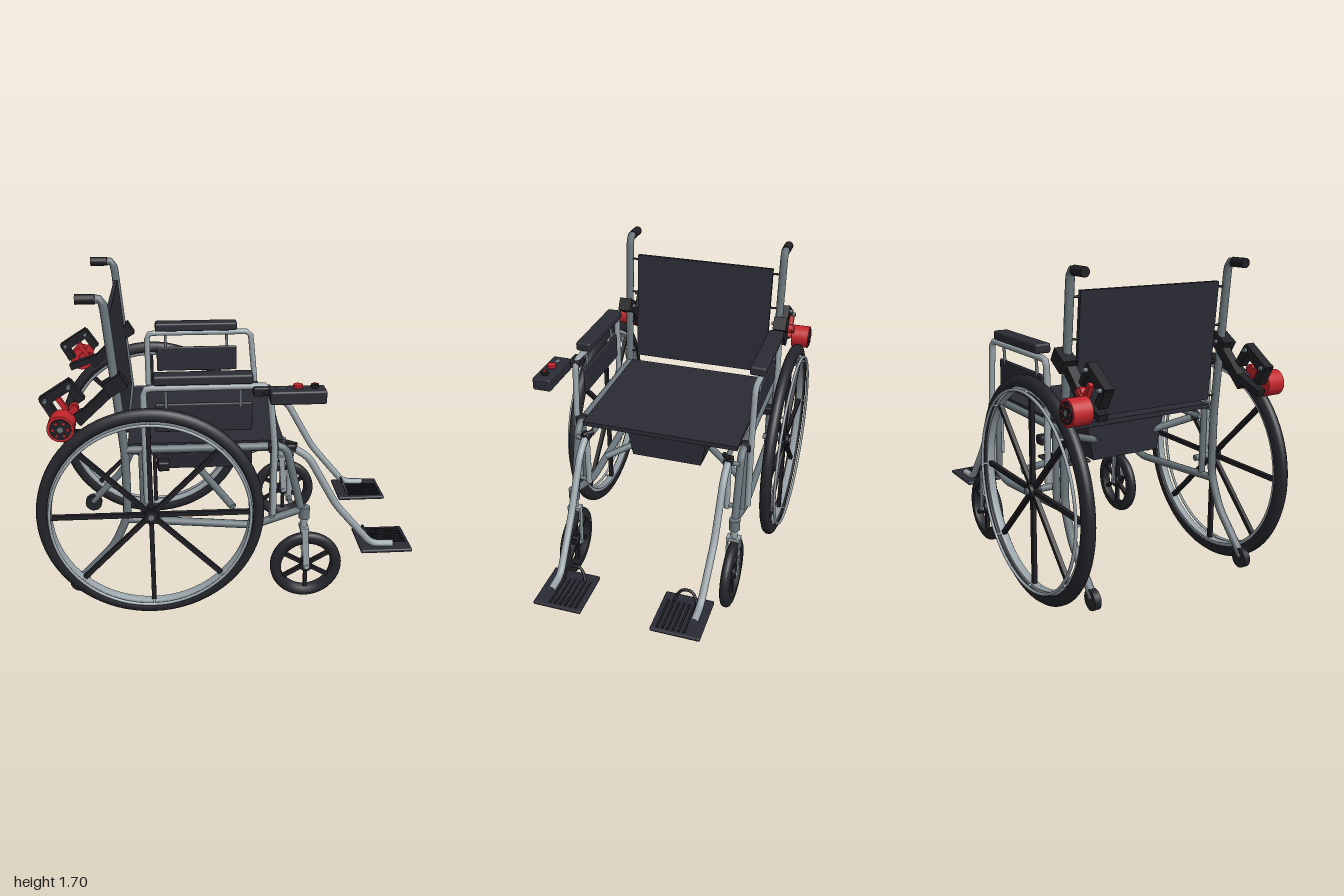
import * as THREE from 'three';
import { RoundedBoxGeometry } from 'three/addons/geometries/RoundedBoxGeometry.js';

const mat = (name, color, side = THREE.FrontSide) => {
  const m = new THREE.MeshStandardMaterial({ color, side });
  m.name = name;
  return m;
};
const V = (x, y, z) => new THREE.Vector3(x, y, z);

export function createModel() {
  const root = new THREE.Group();
  root.name = 'wheelchair';
  const steel = mat('frame grey', 0x69757b, THREE.DoubleSide);
  const silver = mat('light metal', 0x99a4aa, THREE.DoubleSide);
  const fabric = mat('dark fabric', 0x2b2b35);
  const rubber = mat('rubber', 0x25262b);
  const black = mat('black plastic', 0x1f1f24);
  const red = mat('red', 0xc4242b);

  const add = (parent, name, geo, m, x = 0, y = 0, z = 0) => {
    const mesh = new THREE.Mesh(geo, m);
    mesh.name = name;
    mesh.position.set(x, y, z);
    parent.add(mesh);
    return mesh;
  };
  const box = (p, name, m, w, h, d, x, y, z, r = 0) =>
    add(p, name, r ? new RoundedBoxGeometry(w, h, d, 2, r) : new THREE.BoxGeometry(w, h, d), m, x, y, z);
  // straight round rod between two points
  const rod = (p, name, m, a, b, r, r2 = r) => {
    const d = b.clone().sub(a);
    const mesh = add(p, name, new THREE.CylinderGeometry(r2, r, d.length(), 16), m);
    mesh.position.copy(a).add(b).multiplyScalar(0.5);
    mesh.quaternion.setFromUnitVectors(V(0, 1, 0), d.normalize());
    return mesh;
  };
  // bent tube with rounded corners
  const tube = (p, name, m, pts, r, bend = 0.06) => {
    const path = new THREE.CurvePath();
    let last = pts[0];
    for (let i = 1; i < pts.length - 1; i++) {
      const c = pts[i];
      const off = (q) => c.clone().add(q.clone().sub(c).setLength(Math.min(bend, q.distanceTo(c) * 0.45)));
      const a = off(pts[i - 1]), b = off(pts[i + 1]);
      path.add(new THREE.LineCurve3(last, a));
      path.add(new THREE.QuadraticBezierCurve3(a, c, b));
      last = b;
    }
    path.add(new THREE.LineCurve3(last, pts[pts.length - 1]));
    return add(p, name, new THREE.TubeGeometry(path, 56, r, 12), m);
  };
  // flat bar in the side plane from (x1,y1) to (x2,y2)
  const bar = (p, name, m, x1, y1, x2, y2, h, d, z) => {
    const b = box(p, name, m, Math.hypot(x2 - x1, y2 - y1) + h * 0.6, h, d, (x1 + x2) / 2, (y1 + y2) / 2, z);
    b.rotation.z = Math.atan2(y2 - y1, x2 - x1);
    return b;
  };
  // ring of rounded rectangular section around the z axis
  const ring = (p, name, m, inner, outer, w, round) => {
    const h = w / 2, pts = [[inner, -h], [outer - round, -h], [outer - round * 0.3, -h * 0.72], [outer, -h * 0.3],
      [outer, h * 0.3], [outer - round * 0.3, h * 0.72], [outer - round, h], [inner, h], [inner, -h]];
    const g = new THREE.LatheGeometry(pts.map(([x, y]) => new THREE.Vector2(x, y)), 72);
    g.rotateX(Math.PI / 2);
    return add(p, name, g, m);
  };
  const disc = (p, name, m, r, w, x, y, z) => {
    const g = new THREE.CylinderGeometry(r, r, w, 28);
    g.rotateX(Math.PI / 2);
    return add(p, name, g, m, x, y, z);
  };
  const spokes = (p, m, n, r1, r2, w, d, start = 0) => {
    for (let i = 0; i < n; i++) {
      const a = start + (i / n) * Math.PI * 2, l = r2 - r1, c = (r1 + r2) / 2;
      box(p, 'spoke', m, l, w, d, Math.cos(a) * c, Math.sin(a) * c, 0).rotation.z = a;
    }
  };

  // seat and tilted backrest
  box(root, 'seat', fabric, 0.8, 0.025, 0.87, -0.13, 0.915, 0);
  bar(root, 'backrest', fabric, -0.548, 0.968, -0.602, 1.582, 0.022, 0.81, 0);

  // battery box under the seat, tapering downwards
  const tray = new THREE.Shape([[-0.235, 0.855], [-0.2, 0.675], [0.2, 0.675], [0.235, 0.855]].map(([x, y]) => new THREE.Vector2(x, y)));
  const trayGeo = new THREE.ExtrudeGeometry(tray, { depth: 0.52, bevelEnabled: false });
  trayGeo.rotateY(Math.PI / 2);
  add(root, 'batteryBox', trayGeo, fabric, -0.39, 0, 0);

  for (const s of [1, -1]) {
    const side = new THREE.Group();
    side.name = s > 0 ? 'leftSide' : 'rightSide';
    root.add(side);
    const P = (x, y, z) => V(x, y, z * s);
    const Z = 0.46 * s;

    // back post, push handle and anti-tip leg
    tube(side, 'backPost', steel, [P(-0.66, 1.685, 0.46), P(-0.614, 1.685, 0.46), P(-0.544, 0.88, 0.46),
      P(-0.545, 0.53, 0.46), P(-0.62, 0.36, 0.46), P(-0.82, 0.15, 0.46)], 0.022);
    rod(side, 'handGrip', black, P(-0.745, 1.685, 0.46), P(-0.65, 1.685, 0.46), 0.025);
    disc(side, 'antiTipWheel', rubber, 0.052, 0.035, -0.815, 0.142, Z);
    for (const y of [0.98, 1.17, 1.36, 1.56])
      rod(side, 'backrestPin', black, P(-0.55 - (y - 0.96) * 0.085, y, 0.39), P(-0.55 - (y - 0.96) * 0.085, y, 0.46), 0.006);

    // side frame
    tube(side, 'seatRail', steel, [P(-0.54, 0.905, 0.46), P(0.28, 0.905, 0.46), P(0.37, 0.53, 0.46)], 0.021);
    tube(side, 'lowerRail', steel, [P(-0.545, 0.51, 0.46), P(0.12, 0.45, 0.46), P(0.37, 0.535, 0.46)], 0.021);
    rod(side, 'axlePost', steel, P(-0.46, 0.5, 0.46), P(-0.46, 0.9, 0.46), 0.018);
    rod(side, 'axle', steel, P(-0.42, 0.59, 0.44), P(-0.42, 0.59, 0.61), 0.017);
    rod(side, 'frontPost', steel, P(0.215, 0.49, 0.46), P(0.215, 0.9, 0.46), 0.018);
    box(side, 'railClamp', black, 0.05, 0.05, 0.06, 0.21, 0.905, 0.47 * s, 0.01);
    box(side, 'rearClamp', black, 0.06, 0.05, 0.06, -0.35, 0.82, 0.47 * s, 0.01);
    // one bar of the folding cross brace
    rod(side, 'crossBrace', steel, P(-0.48, 0.85, 0.36), P(0.01, 0.54, -0.42), 0.02);
    rod(side, 'braceSaddle', steel, P(-0.52, 0.86, 0.385), P(0.27, 0.86, 0.385), 0.014);

    // armrest with pad and side panel
    tube(side, 'armrestTube', silver, [P(-0.44, 0.62, 0.495), P(-0.44, 1.245, 0.495), P(0.185, 1.245, 0.495),
      P(0.215, 0.92, 0.495), P(0.215, 0.53, 0.495)], 0.017, 0.035);
    box(side, 'armrestPad', fabric, 0.49, 0.05, 0.085, -0.145, 1.29, 0.485 * s, 0.012);
    box(side, 'sidePanel', fabric, 0.485, 0.15, 0.018, -0.142, 1.085, 0.485 * s, 0.008);
    for (const x of [-0.33, 0.04]) rod(side, 'panelStrut', steel, P(x, 1.14, 0.49), P(x, 1.25, 0.495), 0.008);

    // drive wheel
    const wheel = new THREE.Group();
    wheel.name = 'driveWheel';
    wheel.position.set(-0.42, 0.59, 0.57 * s);
    side.add(wheel);
    ring(wheel, 'tyre', rubber, 0.522, 0.578, 0.06, 0.03);
    ring(wheel, 'rim', silver, 0.502, 0.524, 0.04, 0.004);
    spokes(wheel, black, 8, 0.02, 0.506, 0.024, 0.022);
    disc(wheel, 'hub', black, 0.036, 0.06, 0, 0, 0);
    disc(wheel, 'hubCap', silver, 0.016, 0.07, 0, 0, 0);
    add(wheel, 'handRim', new THREE.TorusGeometry(0.508, 0.008, 8, 72), silver, 0, 0, 0.047 * s);
    for (let i = 0; i < 8; i++) {
      const a = (i / 8) * Math.PI * 2, x = Math.cos(a) * 0.508, y = Math.sin(a) * 0.508;
      rod(wheel, 'handRimPost', silver, V(x, y, 0.01 * s), V(x, y, 0.047 * s), 0.006);
    }

    // caster wheel and fork
    const caster = new THREE.Group();
    caster.name = 'casterWheel';
    caster.position.set(0.404, 0.2, 0.463 * s);
    side.add(caster);
    ring(caster, 'casterTyre', rubber, 0.138, 0.194, 0.052, 0.022);
    spokes(caster, black, 6, 0.02, 0.142, 0.02, 0.022, Math.PI / 6);
    disc(caster, 'casterHub', black, 0.034, 0.05, 0, 0, 0);
    disc(caster, 'casterAxle', silver, 0.013, 0.085, 0, 0, 0);
    for (const k of [-1, 1]) bar(side, 'forkBlade', silver, 0.39, 0.41, 0.404, 0.2, 0.034, 0.008, 0.463 * s + k * 0.034);
    box(side, 'forkCrown', silver, 0.045, 0.02, 0.076, 0.388, 0.425, 0.463 * s);
    rod(side, 'casterStem', silver, P(0.386, 0.42, 0.463), P(0.386, 0.5, 0.463), 0.019);
    rod(side, 'casterHead', steel, P(0.386, 0.485, 0.463), P(0.386, 0.55, 0.463), 0.03);

    // swing-away legrest and footplate
    tube(side, 'legrestTube', silver, [P(0.31, 0.875, 0.4), P(0.41, 0.81, 0.4), P(0.57, 0.52, 0.4),
      P(0.78, 0.268, 0.39), P(0.9, 0.265, 0.39)], 0.02, 0.05);
    rod(side, 'legrestPivot', silver, P(0.31, 0.56, 0.4), P(0.31, 0.87, 0.4), 0.016);
    for (const y of [0.58, 0.85]) rod(side, 'pivotBracket', steel, P(0.31, y, 0.4), P(0.31, y, 0.46), 0.013);
    rod(side, 'latchLever', black, P(0.29, 0.885, 0.37), P(0.34, 0.885, 0.41), 0.014);
    box(side, 'latchKnob', black, 0.05, 0.04, 0.05, 0.315, 0.87, 0.4 * s, 0.01);
    box(side, 'footplate', fabric, 0.285, 0.02, 0.262, 0.857, 0.248, 0.317 * s, 0.008);
    for (let i = 0; i < 6; i++) box(side, 'treadRib', black, 0.2, 0.006, 0.012, 0.88, 0.26, (0.22 + i * 0.028) * s);
    tube(side, 'heelLoop', black, [P(0.78, 0.255, 0.245), P(0.75, 0.325, 0.275), P(0.75, 0.325, 0.345), P(0.78, 0.255, 0.375)], 0.008, 0.05);

    // friction drive unit: clamp, frame, linkage and motor
    const drive = new THREE.Group();
    drive.name = 'driveUnit';
    side.add(drive);
    bar(drive, 'postClamp', black, -0.6, 1.25, -0.55, 1.28, 0.075, 0.075, 0.475 * s);
    bar(drive, 'driveArm', black, -0.76, 1.08, -0.59, 1.24, 0.05, 0.05, Z);
    bar(drive, 'frameTop', black, -0.925, 1.185, -0.8, 1.265, 0.05, 0.05, Z);
    bar(drive, 'frameFront', black, -0.8, 1.265, -0.75, 1.19, 0.04, 0.05, Z);
    bar(drive, 'frameRear', black, -0.925, 1.185, -0.89, 1.12, 0.04, 0.05, Z);
    bar(drive, 'frameBase', black, -0.89, 1.06, -0.75, 1.11, 0.035, 0.05, Z);
    bar(drive, 'link', red, -0.85, 1.2, -0.79, 1.1, 0.025, 0.025, 0.495 * s);
    bar(drive, 'link', red, -0.84, 1.1, -0.77, 1.16, 0.03, 0.025, 0.51 * s);
    disc(drive, 'linkPin', red, 0.025, 0.03, -0.78, 1.155, 0.5 * s);
    disc(drive, 'motor', red, 0.066, 0.1, -0.838, 1.087, 0.56 * s);
    disc(drive, 'motorFace', black, 0.053, 0.012, -0.838, 1.087, 0.609 * s);
    disc(drive, 'motorShaft', steel, 0.014, 0.14, -0.838, 1.087, 0.547 * s);
    for (let i = 0; i < 6; i++) {
      const a = (i / 6) * Math.PI * 2;
      disc(drive, 'motorBolt', red, 0.007, 0.006, -0.838 + Math.cos(a) * 0.036, 1.087 + Math.sin(a) * 0.036, 0.615 * s);
    }
    for (const [x, y] of [[-0.92, 1.19], [-0.8, 1.26], [-0.57, 1.27]])
      disc(drive, 'bolt', steel, 0.011, 0.084, x, y, 0.463 * s);
  }

  // control panel on the left armrest
  const panel = new THREE.Group();
  panel.name = 'controlPanel';
  root.add(panel);
  box(panel, 'controlBody', fabric, 0.275, 0.068, 0.1, 0.312, 1.222, 0.575, 0.01);
  box(panel, 'controlMount', black, 0.09, 0.045, 0.06, 0.145, 1.225, 0.505, 0.008);
  rod(panel, 'controlArm', black, V(0.13, 1.22, 0.5), V(0.22, 1.22, 0.57), 0.016);
  box(panel, 'display', steel, 0.04, 0.006, 0.025, 0.235, 1.258, 0.575);
  for (const [x, m, r] of [[0.312, red, 0.024], [0.395, black, 0.02]]) {
    rod(panel, 'buttonStem', black, V(x, 1.25, 0.575), V(x, 1.265, 0.575), 0.012);
    rod(panel, 'button', m, V(x, 1.262, 0.575), V(x, 1.277, 0.575), r);
  }
  box(panel, 'buttonMark', red, 0.03, 0.004, 0.008, 0.395, 1.278, 0.575);
  return root;
}
